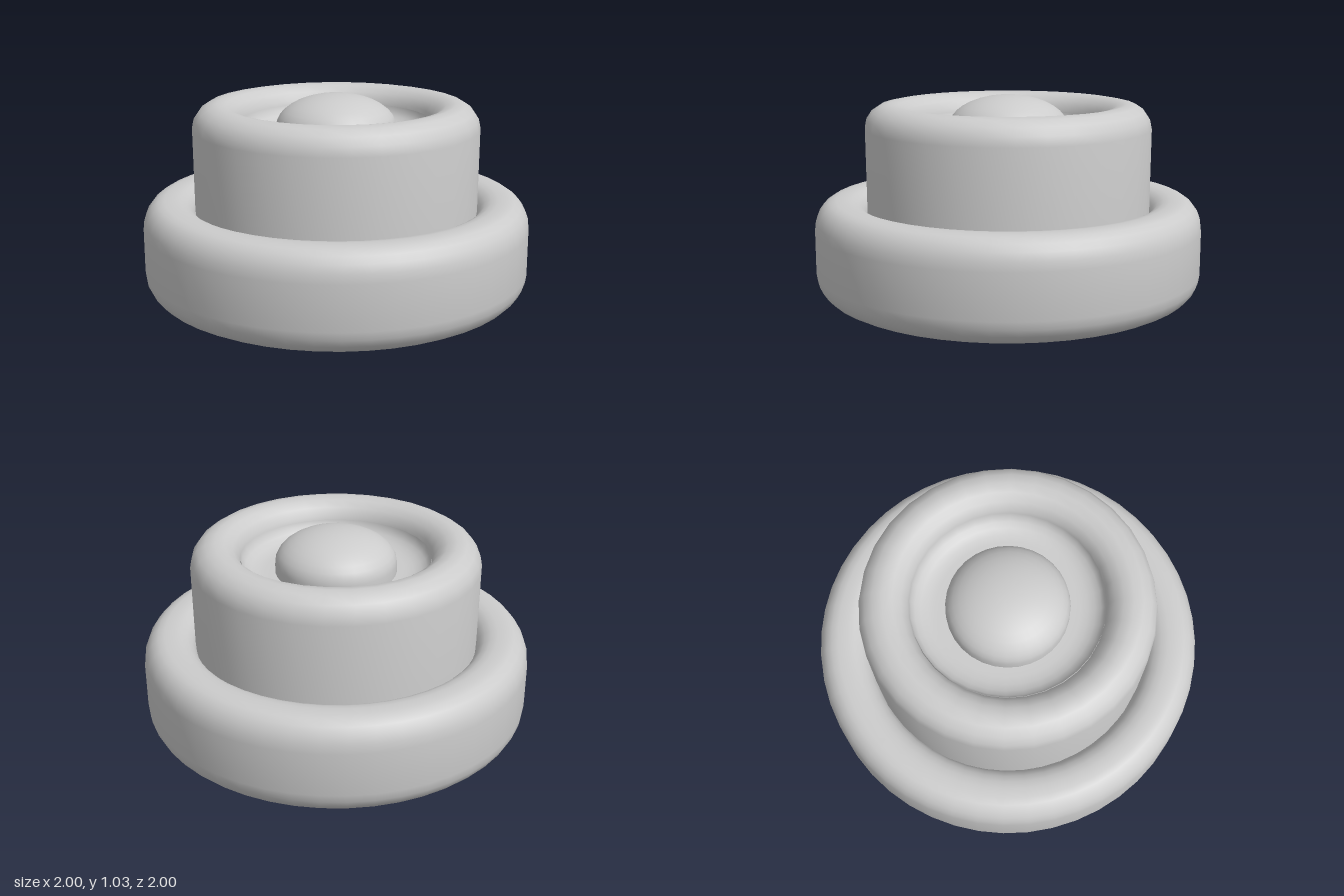
import * as THREE from 'three';
import { toCreasedNormals } from 'three/addons/utils/BufferGeometryUtils.js';

const material = new THREE.MeshStandardMaterial({ color: 0xcccccc, side: THREE.DoubleSide });

// Points of an elliptical arc in the (radius, height) plane, angles in degrees
function arc(cx, cy, rx, ry, from, to, steps = 5) {
  const points = [];
  for (let i = 0; i <= steps; i++) {
    const a = THREE.MathUtils.degToRad(from + (to - from) * i / steps);
    points.push(new THREE.Vector2(cx + rx * Math.cos(a), cy + ry * Math.sin(a)));
  }
  return points;
}

const p = (r, y) => new THREE.Vector2(r, y);

// Turned part with smooth curves and crisp corners
function turned(name, profile, sides) {
  const geometry = toCreasedNormals(new THREE.LatheGeometry(profile, sides), 0.6);
  const mesh = new THREE.Mesh(geometry, material);
  mesh.rotation.y = Math.PI / 2;
  mesh.name = name;
  return mesh;
}

export function createModel() {
  const group = new THREE.Group();
  group.name = 'pushButton';

  // Wide base ring, rounded on all its rims; its bore hugs the collar above the floor
  group.add(turned('baseRing', [
    p(0.74, 0),
    ...arc(0.87, 0.135, 0.13, 0.135, -90, 0),
    ...arc(0.89, 0.36, 0.11, 0.145, 0, 90),
    ...arc(0.84, 0.4, 0.112, 0.105, 90, 180),
    p(0.728, 0.06),
    p(0.74, 0),
  ], 48));

  // Raised collar with a rolled rim and an open bore
  group.add(turned('collar', [
    p(0.485, 0.005),
    p(0.73, 0.005),
    ...arc(0.61, 0.87, 0.127, 0.125, 0, 180, 8),
    p(0.485, 0.005),
  ], 32));

  // Hollow button: skirt inside the bore, concave groove, then a shallow dome
  group.add(turned('button', [
    p(0.478, 0.13),
    p(0.485, 0.9),
    ...arc(0.36, 0.9, 0.125, 0.08, 0, -90),
    p(0.31, 0.82),
    ...arc(0, 0.868, 0.31, 0.167, 0, 90, 9),
  ], 32));

  return group;
}
